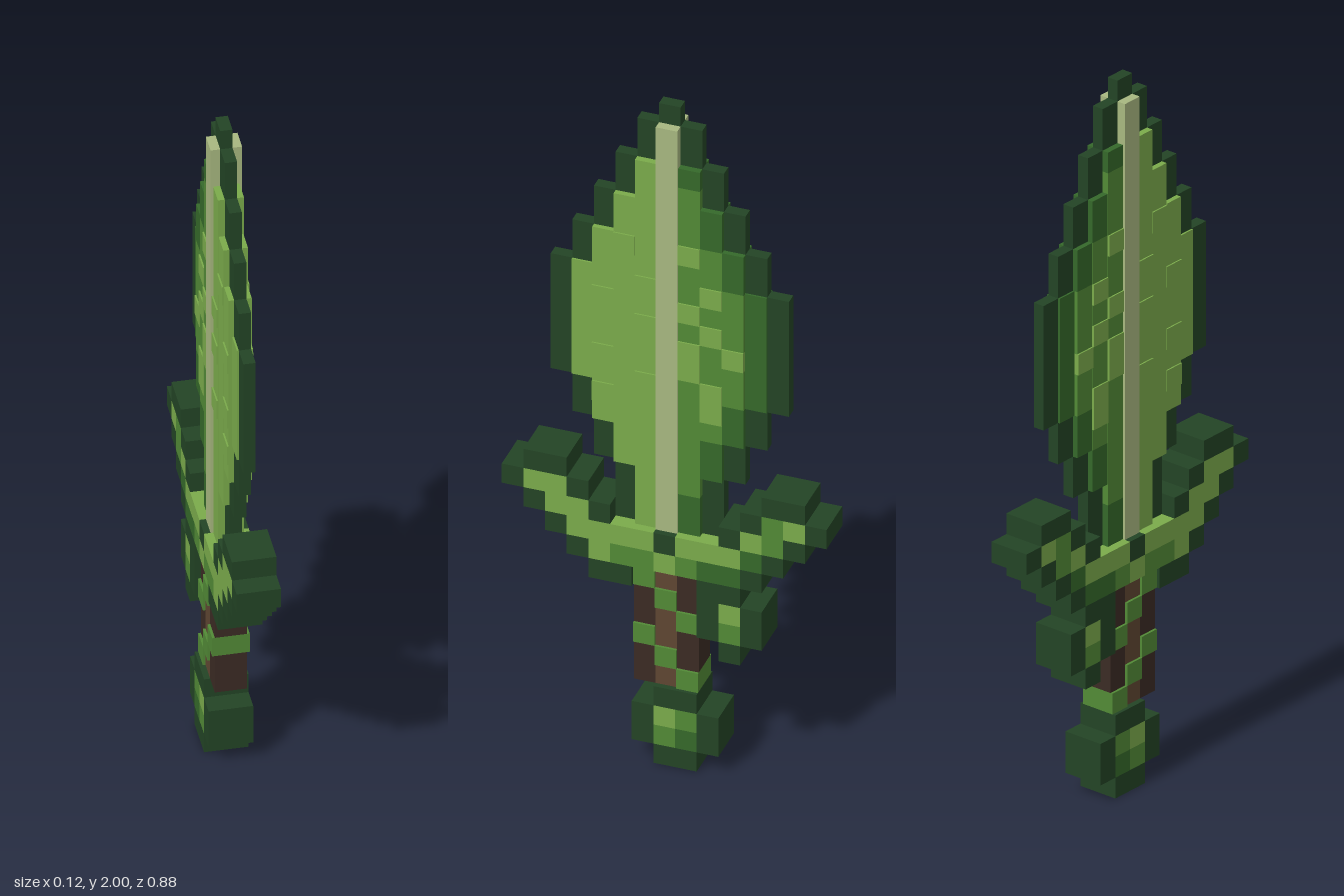
import * as THREE from 'three';
import { mergeGeometries } from 'three/addons/utils/BufferGeometryUtils.js';

const U = 2 / 34; // size of one block

const mat = (name, color) => {
  const m = new THREE.MeshStandardMaterial({ color });
  m.name = name;
  return m;
};

// Block maps: each row runs from +z to -z, rows go downwards.
// # outline, d deep, m mid, l light, L raised light, p pale, b brown, k dark brown
const BLADE = [
  '.....#.....',
  '....#p#....',
  '....#p#....',
  '...#lpd#...',
  '...#lpm#...',
  '..#llpmd#..',
  '..#llpmd#..',
  '.#lLlpLmd#.',
  '.#lllpmmd#.',
  '#lllLpmLmd#',
  '#lLllpLmmd#',
  '#lllLpmLmd#',
  '#llllpLmLd#',
  '#lLllpLmmd#',
  '#lllLpmLmd#',
  '.#LllpmLd#.',
  '.#lllpmmd#.',
  '..#llpmd#..',
  '..#llpmd#..',
  '...#lpm#...',
  '...#lpd#...',
  '...#lpd#...',
];
const GUARD = [
  '.##.........##.',
  '#ll#.......#ml#',
  '.#ll#.....#lm#.',
  '..#llll#llld#..',
  '...#lmmlmdd#...',
  '....##...##....',
];
const LEAF = ['#l#', '#m#', '.#.'];
const GRIP = ['mbk', 'kmk', 'kbm', 'mbk', 'kmk', 'kbm'];
const POMMEL = ['.##.', '#lm#', '#md#', '.##.'];

// Blade thins from the spine to the cutting edge
const BLADE_DEPTH = [0.041, 0.034, 0.032, 0.03, 0.021];
const bladeDepth = (c, off) => {
  if (c === '#') return 0.016;
  return BLADE_DEPTH[Math.abs(off)] + (c === 'L' ? 0.004 : 0);
};
const thick = () => 0.058;
const gripDepth = (c) => (c === 'm' ? 0.049 : 0.042);

export function createModel() {
  const outline = mat('outline green', 0x234425);
  const light = mat('light green', 0x7bab4b);
  const colours = {
    '#': outline,
    d: mat('deep green', 0x35692a),
    m: mat('mid green', 0x528a36),
    l: light,
    L: light,
    p: mat('pale spine', 0xa8b880),
    b: mat('brown', 0x5f4632),
    k: mat('dark brown', 0x3b2b24),
  };

  // Turns a block map into boxes, one box per vertical run of a symbol
  function buildPart(name, rows, topRow, leftCol, halfDepth) {
    const part = new THREE.Group();
    part.name = name;
    const byColour = new Map();
    for (let c = 0; c < rows[0].length; c++) {
      for (let r = 0; r < rows.length; ) {
        const s = rows[r][c];
        let end = r + 1;
        while (end < rows.length && rows[end][c] === s) end++;
        if (s !== '.') {
          const off = leftCol + c - 7;
          const box = new THREE.BoxGeometry(2 * halfDepth(s, off), (end - r) * U, U);
          box.translate(0, 2 - (topRow + (r + end) / 2) * U, -off * U);
          const m = colours[s];
          if (!byColour.has(m)) byColour.set(m, []);
          byColour.get(m).push(box);
        }
        r = end;
      }
    }
    for (const [m, boxes] of byColour) {
      const mesh = new THREE.Mesh(mergeGeometries(boxes), m);
      mesh.name = `${name} ${m.name}`;
      part.add(mesh);
    }
    return part;
  }

  const model = new THREE.Group();
  model.name = 'leafSword';
  model.add(
    buildPart('blade', BLADE, 0, 2, bladeDepth),
    buildPart('guard', GUARD, 19, 0, thick),
    buildPart('hangingLeaf', LEAF, 25, 9, thick),
    buildPart('grip', GRIP, 24, 6, gripDepth),
    buildPart('pommel', POMMEL, 30, 6, thick),
  );
  return model;
}
